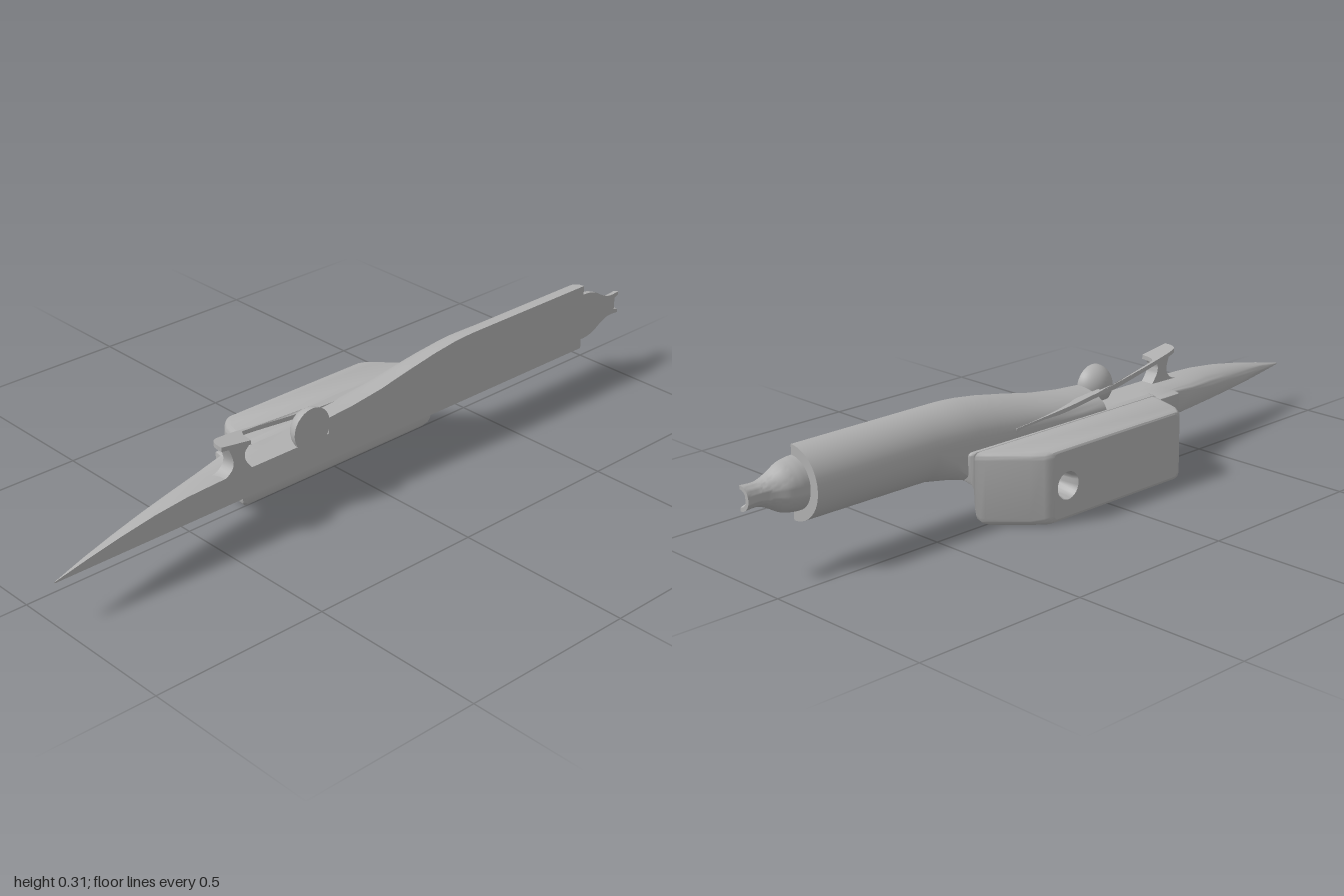
import * as THREE from 'three';
import { toCreasedNormals } from 'three/addons/utils/BufferGeometryUtils.js';

const Z0 = 0.127; // flat cut plane of the half hull
const AXIS = 0.218; // height of the engine axis

// Skin between closed rings of equal length, with a fan over the last ring
function loft(rings, cap = false) {
  const n = rings[0].length, index = [];
  for (let i = 0; i < rings.length - 1; i++) {
    for (let j = 0; j < n; j++) {
      const a = i * n + j, b = i * n + (j + 1) % n;
      index.push(a, b, a + n, b, b + n, a + n);
    }
  }
  const last = (rings.length - 1) * n;
  if (cap) for (let k = 1; k < n - 1; k++) index.push(last, last + k, last + k + 1);
  const g = new THREE.BufferGeometry();
  g.setAttribute('position', new THREE.Float32BufferAttribute(rings.flat(2), 3));
  g.setIndex(index);
  return toCreasedNormals(g, 0.6);
}

// Half hull section: lower corner arc, upright side, upper arc
function hullRing([x, w, top, shoulder, rz, ry]) {
  const ring = [[x, 0.12, Z0]], N = 10;
  for (let k = 0; k <= N; k++) {
    const a = (k / N) * Math.PI / 2;
    ring.push([x, 0.12 + ry * (1 - Math.cos(a)), Z0 - w + rz * (1 - Math.sin(a))]);
  }
  for (let k = 0; k <= N; k++) {
    const a = (k / N) * Math.PI / 2;
    ring.push([x, shoulder + (top - shoulder) * Math.sin(a), Z0 - w * Math.cos(a)]);
  }
  return ring;
}

// Rounded rectangle outline, counter-clockwise
function roundRect(x0, x1, y0, y1, r) {
  const pts = [];
  [[x1 - r, y0 + r, -90], [x1 - r, y1 - r, 0], [x0 + r, y1 - r, 90], [x0 + r, y0 + r, 180]].forEach(([cx, cy, s]) => {
    for (let k = 0; k <= 6; k++) {
      const a = (s + k * 15) * Math.PI / 180;
      pts.push([cx + r * Math.cos(a), cy + r * Math.sin(a)]);
    }
  });
  return pts;
}

const spline = (pts, n) => new THREE.SplineCurve(pts.map(p => new THREE.Vector2(...p))).getPoints(n);

export function createModel() {
  const model = new THREE.Group();
  const grey = new THREE.MeshStandardMaterial({ color: 0xb0b0b0, side: THREE.DoubleSide });
  grey.name = 'hull grey';
  const add = (name, geometry, x = 0, y = 0, z = 0) => {
    const m = new THREE.Mesh(geometry, grey);
    m.name = name;
    m.position.set(x, y, z);
    model.add(m);
    return m;
  };

  // Hull: x, half width, top, shoulder height, lower corner radii
  const c = 0.003;
  add('hull', loft([
    [-1, 0.002, 0.123, 0.121, 0.001, 0.001],
    [-0.9, 0.027, 0.146, 0.128, c, c],
    [-0.8, 0.049, 0.166, 0.135, c, c],
    [-0.7, 0.068, 0.183, 0.145, c, c],
    [-0.6, 0.085, 0.194, 0.157, c, c],
    [-0.5, 0.1, 0.198, 0.172, c, c],
    [-0.405, 0.113, 0.199, 0.188, c, c],
    [-0.4, 0.135, 0.199, 0.19, 0.006, 0.006],
    [-0.3, 0.135, 0.199, 0.19, 0.006, 0.006],
    [-0.29, 0.115, 0.199, 0.19, c, c],
    [-0.135, 0.11, 0.199, 0.19, c, c],
    [-0.135, 0.11, 0.245, 0.192, c, c],
    [-0.05, 0.109, 0.251, 0.194, c, c],
    [0.05, 0.108, 0.264, 0.198, c, c],
    [0.15, 0.107, 0.284, 0.203, c, c],
    [0.25, 0.106, 0.302, 0.208, c, c],
    [0.32, 0.105, 0.311, 0.213, c, c],
    [0.36, 0.104, 0.314, 0.216, 0.012, 0.012],
    [0.4, 0.101, 0.315, AXIS, 0.06, 0.06],
    [0.46, 0.098, 0.315, AXIS, 0.097, 0.097],
    [0.845, 0.097, 0.315, AXIS, 0.097, 0.097],
  ].map(hullRing), true));

  // Exhaust nozzle, half turned, with its flat cut side
  const profile = [
    ...spline([[0.07, 0.84], [0.069, 0.865], [0.062, 0.895], [0.045, 0.925], [0.034, 0.95], [0.031, 0.97], [0.033, 1]], 24),
    ...[[0.023, 1], [0.018, 0.985], [0, 0.985]].map(p => new THREE.Vector2(...p)),
  ];
  const nozzle = new THREE.LatheGeometry(profile, 24, Math.PI / 2, Math.PI).rotateZ(-Math.PI / 2);
  add('exhaustNozzle', toCreasedNormals(nozzle, 0.6), 0, AXIS, Z0);
  const cut = [...profile.map(p => [p.y, p.x]), ...profile.slice(0, -1).reverse().map(p => [p.y, -p.x])];
  add('nozzleCutFace', new THREE.ShapeGeometry(new THREE.Shape(cut.map(p => new THREE.Vector2(...p)))), 0, AXIS, Z0);

  // Side pod: z, left, right, bottom, top, corner radius
  const back = [-0.127, -0.262, 0.21, 0.012, 0.19, 0.014];
  add('sidePod', loft([
    back,
    [-0.124, -0.272, 0.222, 0.005, 0.195, 0.018],
    [-0.115, -0.282, 0.235, 0.001, 0.197, 0.02],
    [-0.09, -0.3, 0.262, 0, 0.197, 0.02],
    [-0.01, -0.325, 0.34, 0, 0.197, 0.02],
    [0.002, -0.327, 0.35, 0.003, 0.197, 0.02],
    [0.009, -0.329, 0.357, 0.012, 0.197, 0.02],
    [0.011, -0.33, 0.359, 0.03, 0.197, 0.02],
    [0.012, -0.33, 0.361, 0.09, 0.198, 0.015],
    [0.017, -0.33, 0.366, 0.108, 0.198, 0.012],
    [0.035, -0.33, 0.372, 0.117, 0.198, 0.01],
  ].map(([z, ...r]) => roundRect(...r).map(([x, y]) => [x, y, z]))));

  // Pod back face with its round port
  const face = new THREE.Shape(roundRect(...back.slice(1)).map(p => new THREE.Vector2(...p)));
  face.holes.push(new THREE.Path().absarc(0.16, 0.095, 0.038, 0, Math.PI * 2, true));
  add('podBackFace', new THREE.ShapeGeometry(face, 14), 0, 0, back[0]);
  const port = new THREE.LatheGeometry([[0.038, 0], [0.033, 0.015], [0.03, 0.07], [0, 0.07]]
    .map(p => new THREE.Vector2(...p)), 28).rotateX(Math.PI / 2);
  add('podPort', toCreasedNormals(port, 0.6), 0.16, 0.095, back[0]);

  // Seat dome: half ball with a flat cut side
  const dome = new THREE.SphereGeometry(0.06, 20, 20, 0, Math.PI).rotateY(Math.PI).scale(1, 1, 0.88);
  add('seatDome', dome, -0.192, 0.232, Z0);
  add('domeCutFace', new THREE.CircleGeometry(0.06, 36), -0.192, 0.232, Z0);

  // Sloping rail around the seat, drawn flat then bent to its height
  const outer = spline([[-0.49, 0], [-0.485, 0.035], [-0.45, 0.055], [-0.3, 0.07], [-0.13, 0.084], [0, 0.098], [0.2, 0.106]], 30);
  const inner = spline([[0.2, 0.08], [0, 0.07], [-0.14, 0.064], [-0.16, 0.072], [-0.35, 0.058], [-0.385, 0.045], [-0.395, 0]], 30);
  const rail = new THREE.ExtrudeGeometry(new THREE.Shape([...inner, ...outer]), { depth: 0.012, bevelEnabled: false });
  rail.rotateX(-Math.PI / 2);
  const p = rail.attributes.position;
  for (let i = 0; i < p.count; i++) {
    const x = p.getX(i);
    const y = x < -0.2 ? 0.237 - (x + 0.2) * 0.148 : 0.237 - (x + 0.2) * 0.06;
    p.setY(i, p.getY(i) + y - 0.002);
  }
  add('seatRail', toCreasedNormals(rail, 0.6), 0, 0, Z0);

  // Waisted pillar holding the rail
  const waist = [
    ...spline([[-0.5, 0.194], [-0.47, 0.203], [-0.452, 0.23], [-0.468, 0.279]], 10),
    ...spline([[-0.398, 0.268], [-0.415, 0.25], [-0.413, 0.225], [-0.39, 0.194]], 10),
  ];
  const pillar = new THREE.ExtrudeGeometry(new THREE.Shape(waist), { depth: 0.04, bevelEnabled: false });
  add('railPillar', toCreasedNormals(pillar, 0.6), 0, 0, Z0 - 0.04);

  return model;
}
